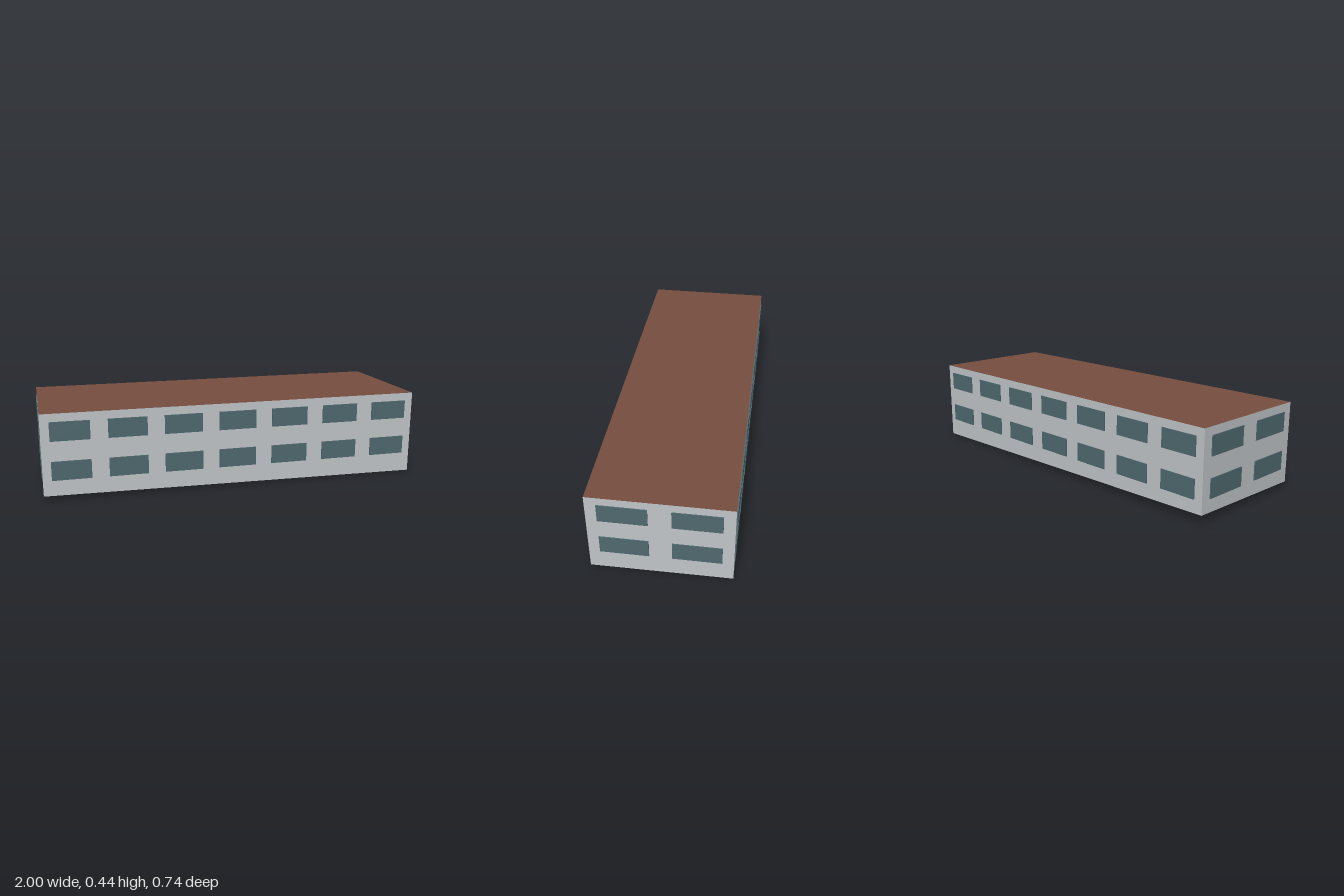
import * as THREE from 'three';

const LENGTH = 1.971, DEPTH = 0.677, TOP = 0.44, PROUD = 0.005;

function material(name, color) {
  const m = new THREE.MeshStandardMaterial({ color });
  m.name = name;
  return m;
}

export function createModel() {
  const wall = material('wallGrey', 0xc1c6c9);
  const roof = material('roofBrown', 0x774e40);
  const glass = material('windowTeal', 0x4f696f);

  const model = new THREE.Group();
  model.name = 'building';

  // The building sits slightly turned on its plot
  const block = new THREE.Group();
  block.name = 'block';
  block.rotation.y = -0.0285;
  model.add(block);

  // Body: a box whose base follows the sloping ground
  const geo = new THREE.BoxGeometry(LENGTH, TOP, DEPTH);
  geo.translate(0, TOP / 2, 0);
  const pos = geo.attributes.position;
  for (let i = 0; i < pos.count; i++) {
    if (pos.getY(i) > 0.1) continue;
    const back = pos.getZ(i) < 0;
    pos.setY(i, pos.getX(i) > 0 ? (back ? 0.005 : 0) : (back ? 0.04 : 0.027));
  }
  geo.computeVertexNormals();
  const body = new THREE.Mesh(geo, [wall, wall, roof, wall, wall, wall]);
  body.name = 'wallsAndRoof';
  block.add(body);

  // Windows: two storeys of thin plates on each facade
  function facade(name, angle, width, distance, count, paneWidth) {
    const group = new THREE.Group();
    group.name = name;
    group.rotation.y = angle;
    const pane = new THREE.BoxGeometry(paneWidth, 0.096, PROUD);
    const step = width / count;
    for (const y of [0.153, 0.351]) {
      for (let i = 0; i < count; i++) {
        const win = new THREE.Mesh(pane, glass);
        win.name = 'window';
        win.position.set((i - (count - 1) / 2) * step, y, distance + PROUD / 2);
        group.add(win);
      }
    }
    block.add(group);
  }
  facade('frontWindows', 0, LENGTH, DEPTH / 2, 7, 0.195);
  facade('backWindows', Math.PI, LENGTH, DEPTH / 2, 7, 0.195);
  facade('leftWindows', Math.PI / 2, DEPTH, LENGTH / 2, 2, 0.231);
  facade('rightWindows', -Math.PI / 2, DEPTH, LENGTH / 2, 2, 0.231);

  return model;
}
